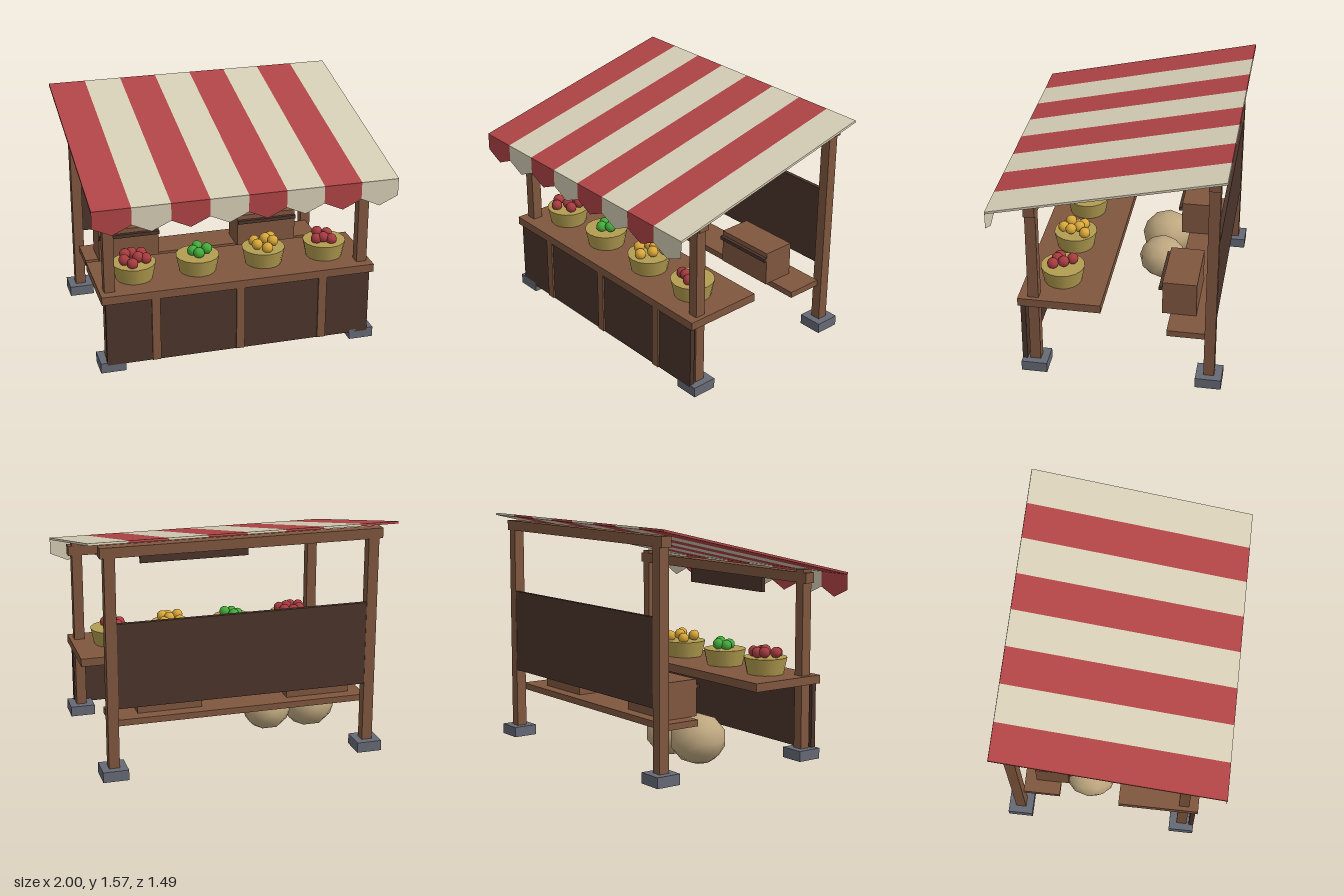
import * as THREE from 'three';

const mat = (name, color, side = THREE.FrontSide) => {
  const m = new THREE.MeshStandardMaterial({ color, side });
  m.name = name;
  return m;
};

export function createModel() {
  const wood = mat('wood', 0x80573f);
  const darkWood = mat('dark wood', 0x4b342b);
  const stone = mat('stone', 0x666a75);
  const red = mat('red cloth', 0xb04446, THREE.DoubleSide);
  const cream = mat('cream cloth', 0xd6ceb6, THREE.DoubleSide);
  const wicker = mat('wicker', 0xb39d50);
  const burlap = mat('burlap', 0xbfa880);
  const apple = mat('apple red', 0xa83c40);
  const lime = mat('apple green', 0x45ad3c);
  const orange = mat('golden yellow', 0xdca93a);

  const group = new THREE.Group();
  const add = (name, geo, material, x = 0, y = 0, z = 0) => {
    const m = new THREE.Mesh(geo, material);
    m.name = name;
    m.position.set(x, y, z);
    group.add(m);
    return m;
  };
  // Box given by its extents on each axis
  const box = (name, material, x0, x1, y0, y1, z0, z1) =>
    add(name, new THREE.BoxGeometry(x1 - x0, y1 - y0, z1 - z0), material,
      (x0 + x1) / 2, (y0 + y1) / 2, (z0 + z1) / 2);

  // Posts on stone feet
  for (const [z, top, label] of [[0.485, 1.255, 'front'], [-0.66, 1.49, 'back']]) {
    for (const s of [-1, 1]) {
      const x = s * 0.86;
      box(label + 'Post', wood, x - 0.035, x + 0.035, 0.06, top, z - 0.035, z + 0.035);
      box(label + 'Foot', stone, x - 0.084, x + 0.084, 0, 0.07, z - 0.085, z + 0.085);
    }
  }
  box('frontBeam', wood, -0.92, 0.92, 1.167, 1.235, 0.449, 0.521);
  box('backBeam', wood, -0.92, 0.92, 1.455, 1.522, -0.696, -0.624);

  // Counter, its front panel and battens
  box('counter', wood, -0.925, 0.925, 0.5, 0.556, 0.042, 0.583);
  box('counterPanel', darkWood, -0.9, 0.9, 0.052, 0.5, 0.537, 0.57);
  for (const x of [-0.57, 0, 0.567]) {
    box('counterBatten', wood, x - 0.028, x + 0.028, 0.055, 0.5, 0.569, 0.581);
  }

  // Back wall and shelf
  box('backPanel', darkWood, -0.826, 0.826, 0.47, 1.03, -0.692, -0.665);
  box('backShelf', wood, -0.86, 0.86, 0.325, 0.367, -0.626, -0.375);

  // Crates on the shelf
  for (const [x0, x1] of [[-0.77, -0.34], [0.24, 0.67]]) {
    box('crate', wood, x0, x1, 0.367, 0.604, -0.545, -0.32);
    box('crateStrip', darkWood, x0, x1, 0.545, 0.57, -0.32, -0.296);
  }

  // Hanging sign board, left blank
  box('signBoard', darkWood, -0.4, 0.4, 1.056, 1.235, 0.52, 0.546);
  box('signPlate', orange, -0.3, 0.3, 1.088, 1.2, 0.545, 0.56);

  // Sloped striped awning with a pointed valance
  const zEdge = 0.742, yFront = 1.222, yBack = 1.564, w = 0.25;
  const angle = Math.atan2(yBack - yFront, 2 * zEdge);
  const length = Math.hypot(yBack - yFront, 2 * zEdge);
  const flap = new THREE.ShapeGeometry(new THREE.Shape([
    [-w / 2, 1.228], [-w / 2, 1.113], [0, 1.056], [w / 2, 1.113], [w / 2, 1.228],
  ].map(([x, y]) => new THREE.Vector2(x, y))));
  for (let i = 0; i < 8; i++) {
    const x = -1 + w * (i + 0.5);
    const cloth = i % 2 ? cream : red;
    const stripe = add('awningStripe', new THREE.BoxGeometry(w, 0.015, length), cloth,
      x, (yFront + yBack) / 2, 0);
    stripe.rotation.x = angle;
    add('valanceFlap', flap, cloth, x, 0, zEdge);
  }

  // Baskets of fruit: offsets are x, height, z from the basket centre
  const ball = new THREE.IcosahedronGeometry(1, 1);
  const basket = new THREE.CylinderGeometry(0.145, 0.122, 0.111, 16);
  const heaps = [
    [-0.66, apple, [[-0.07, 0.7, 0.03], [0.025, 0.705, 0.02], [0.075, 0.695, 0.03],
      [-0.025, 0.69, 0.08], [0.0, 0.7, -0.07], [-0.05, 0.705, -0.05], [0.06, 0.7, -0.05]]],
    [-0.23, lime, [[0, 0.692, 0.04], [0.06, 0.705, 0.01], [0.01, 0.7, -0.05], [-0.03, 0.69, -0.01]]],
    [0.225, orange, [[-0.055, 0.705, 0.04], [0.005, 0.69, 0.08], [0.06, 0.71, 0.02],
      [-0.05, 0.69, -0.05], [0.02, 0.71, -0.03], [0.07, 0.695, -0.075]]],
    [0.655, apple, [[-0.065, 0.69, 0.03], [-0.02, 0.7, 0.04], [0.02, 0.705, -0.01],
      [0.03, 0.69, 0.06], [-0.03, 0.7, -0.06]]],
  ];
  for (const [x, material, fruits] of heaps) {
    add('basket', basket, wicker, x, 0.6115, 0.337);
    fruits.forEach(([dx, y, dz], i) => {
      const f = add('fruit', ball, material, x + dx, y, 0.337 + dz);
      f.scale.setScalar(0.038);
      f.rotation.set(i * 1.3, i * 0.8, i * 2.1);
    });
  }

  // Sacks on the ground behind the counter
  for (const [x, y, r, h] of [[-0.615, 0.176, 0.185, 0.168], [-0.315, 0.163, 0.165, 0.15]]) {
    const sack = add('sack', ball, burlap, x, y, -0.187);
    sack.scale.set(r, h, r);
  }
  return group;
}
